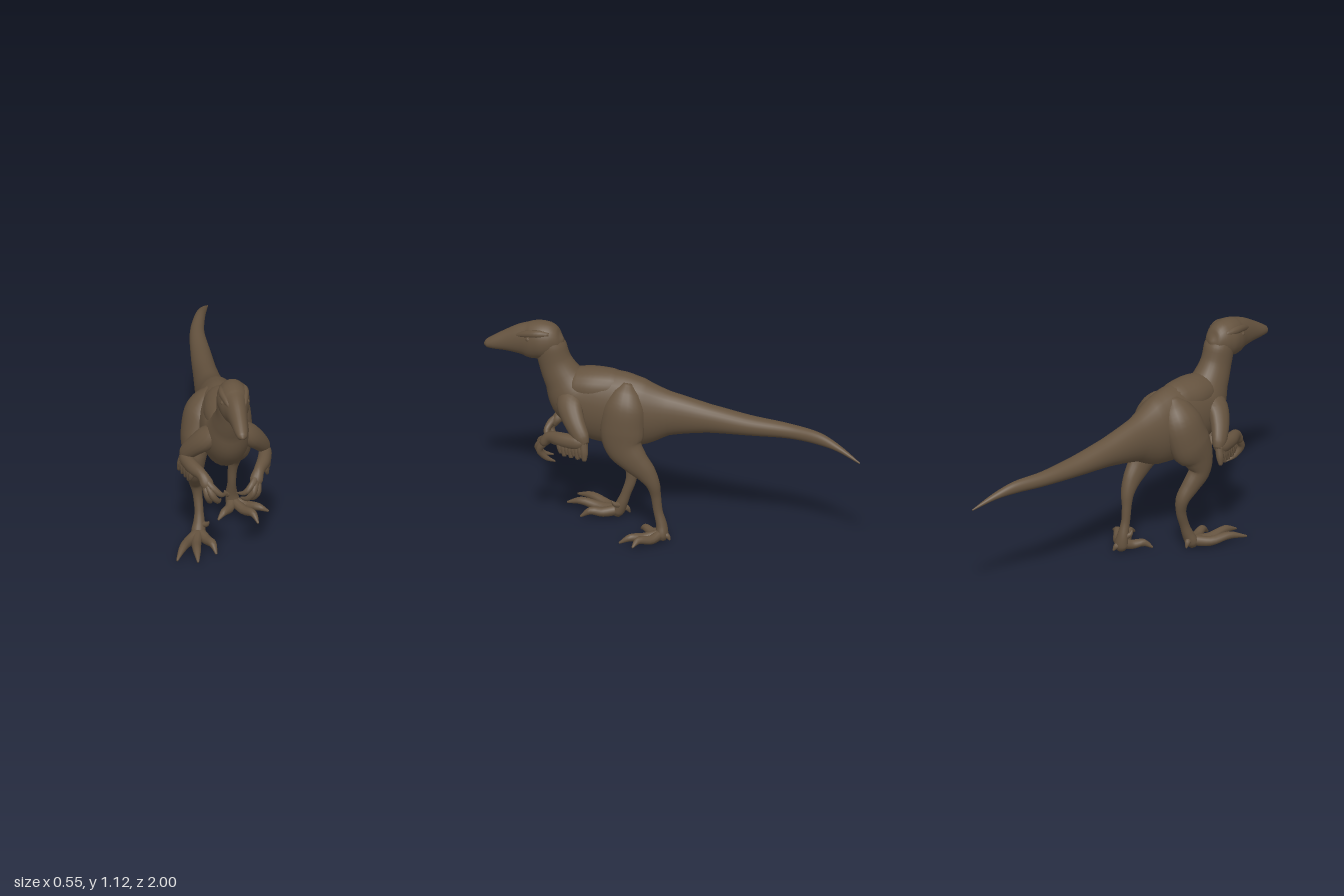
import * as THREE from 'three';

const hide = new THREE.MeshStandardMaterial({ color: 0x65533f });
hide.name = 'brownHide';

// Smooth loft through stations [x, y, z, halfWidth, halfHeight], closed at both ends
function loft(stations, steps = 4, sides = 16) {
  const path = new THREE.CatmullRomCurve3(stations.map(s => new THREE.Vector3(s[0], s[1], s[2])));
  const size = new THREE.CatmullRomCurve3(stations.map(s => new THREE.Vector3(s[3], s[4], 0)));
  const rings = (stations.length - 1) * steps;
  const pos = [], idx = [];
  for (let i = 0; i <= rings; i++) {
    const c = path.getPoint(i / rings), r = size.getPoint(i / rings), t = path.getTangent(i / rings);
    const side = new THREE.Vector3(1, 0, 0).addScaledVector(t, -t.x).normalize();
    const up = new THREE.Vector3().crossVectors(t, side);
    for (let j = 0; j < sides; j++) {
      const a = j / sides * Math.PI * 2;
      const p = c.clone().addScaledVector(side, Math.cos(a) * r.x).addScaledVector(up, Math.sin(a) * r.y);
      pos.push(p.x, p.y, p.z);
      const n = (j + 1) % sides, k = i * sides;
      if (i < rings) idx.push(k + j, k + n, k + sides + j, k + n, k + sides + n, k + sides + j);
    }
  }
  const start = pos.length / 3, first = stations[0], last = stations[stations.length - 1];
  pos.push(first[0], first[1], first[2], last[0], last[1], last[2]);
  for (let j = 0; j < sides; j++) {
    const n = (j + 1) % sides, k = rings * sides;
    idx.push(start, n, j, start + 1, k + j, k + n);
  }
  const g = new THREE.BufferGeometry();
  g.setAttribute('position', new THREE.Float32BufferAttribute(pos, 3));
  g.setIndex(idx);
  g.computeVertexNormals();
  return g;
}

export function createModel() {
  const model = new THREE.Group();
  model.name = 'raptor';
  const add = (name, stations, parent = model, steps, sides) => {
    const m = new THREE.Mesh(loft(stations, steps, sides), hide);
    m.name = name;
    parent.add(m);
    return m;
  };
  const group = name => {
    const g = new THREE.Group();
    g.name = name;
    model.add(g);
    return g;
  };
  // Tapering digit: knuckles thin out into a claw
  const digit = (name, points, r, parent) => add(name, points.map((p, i) => {
    const k = [1, 0.95, 0.75, 0.2][i + 4 - points.length];
    return [...p, r * k, r * k];
  }), parent, 4, 10);

  // Tail, trunk and neck in one sweep
  add('body', [
    [0.152, 0.587, -1, 0.003, 0.004], [0.11, 0.637, -0.88, 0.018, 0.017],
    [0.074, 0.662, -0.77, 0.027, 0.032], [0.033, 0.667, -0.61, 0.037, 0.038],
    [0.015, 0.667, -0.39, 0.052, 0.053], [0.002, 0.675, -0.18, 0.062, 0.076],
    [-0.004, 0.678, 0.03, 0.079, 0.12], [0, 0.674, 0.17, 0.11, 0.182],
    [0, 0.682, 0.3, 0.124, 0.202], [0, 0.695, 0.42, 0.124, 0.198],
    [0, 0.735, 0.52, 0.116, 0.155], [0, 0.82, 0.585, 0.09, 0.104],
    [0, 0.91, 0.63, 0.075, 0.086], [0, 0.99, 0.65, 0.075, 0.08],
    [0, 1.06, 0.66, 0.06, 0.05],
  ], model, 5, 28);

  // Withers filling the base of the neck
  add('withers', [[0, 0.785, 0.2, 0.04, 0.05], [0, 0.79, 0.33, 0.095, 0.1], [0, 0.793, 0.43, 0.106, 0.099],
    [0, 0.79, 0.52, 0.095, 0.091], [0, 0.8, 0.58, 0.06, 0.06]], model, 4, 24);

  // Head with a wedge snout
  add('head', [
    [0, 1.035, 0.585, 0.01, 0.01], [0, 1.03, 0.605, 0.05, 0.058],
    [0, 1.027, 0.65, 0.076, 0.092], [0, 1.022, 0.7, 0.084, 0.102],
    [0, 1.014, 0.75, 0.076, 0.1], [0, 1.011, 0.8, 0.058, 0.086],
    [0, 0.995, 0.88, 0.043, 0.058], [0, 0.976, 0.95, 0.034, 0.035],
    [0, 0.966, 0.985, 0.024, 0.022], [0, 0.962, 1, 0.006, 0.006],
  ], model, 4, 24);

  for (const s of [1, -1]) {
    const side = s > 0 ? 'left' : 'right';
    const at = pts => pts.map(([x, ...rest]) => [x * s, ...rest]);

    // Brow ridge and eye, sunk into the head
    add(side + 'Brow', at([[0.052, 1.074, 0.65, 0.012, 0.014], [0.06, 1.076, 0.71, 0.019, 0.022],
      [0.047, 1.062, 0.78, 0.016, 0.018], [0.031, 1.04, 0.84, 0.007, 0.007]]), model, 4, 10);
    const eye = new THREE.Mesh(new THREE.SphereGeometry(0.014, 12, 8), hide);
    eye.name = side + 'Eye';
    eye.position.set(0.061 * s, 1.042, 0.755);
    model.add(eye);

    // Arm, folded with the elbow out and back
    const arm = group(side + 'Arm');
    add('upperArm', at([[0.04, 0.765, 0.535, 0.045, 0.06], [0.1, 0.72, 0.53, 0.05, 0.068],
      [0.155, 0.66, 0.495, 0.045, 0.057], [0.2, 0.59, 0.445, 0.034, 0.043],
      [0.21, 0.555, 0.425, 0.022, 0.025]]), arm);
    add('forearm', at([[0.21, 0.57, 0.42, 0.022, 0.025], [0.203, 0.56, 0.47, 0.034, 0.04],
      [0.18, 0.555, 0.55, 0.034, 0.038], [0.145, 0.545, 0.62, 0.028, 0.03],
      [0.128, 0.515, 0.65, 0.034, 0.027], [0.12, 0.485, 0.665, 0.022, 0.018]]), arm);
    [[[0.13, 0.53, 0.645], [0.1, 0.5, 0.68], [0.062, 0.465, 0.69], [0.025, 0.447, 0.655]],
      [[0.125, 0.51, 0.66], [0.105, 0.465, 0.695], [0.075, 0.42, 0.675], [0.052, 0.402, 0.625]],
      [[0.135, 0.51, 0.65], [0.13, 0.46, 0.68], [0.112, 0.41, 0.65], [0.095, 0.385, 0.605]],
    ].forEach(f => digit('finger', at(f), 0.019, arm));

    // Fringe of flat feathers along the forearm
    for (let i = 0; i < 8; i++) {
      const k = i / 7, x = 0.21 - 0.035 * k, z = 0.43 + 0.13 * k;
      add('armFeather', at([[x, 0.575, z, 0.02, 0.022], [x + 0.015, 0.52, z - 0.006, 0.018, 0.022],
        [x + 0.024, 0.475 + 0.012 * (i % 2), z - 0.01, 0.008, 0.011]]), arm, 4, 8);
    }
  }

  // Striding legs, each one sweep from hip to foot: left one back, right one forward
  const leftLeg = group('leftLeg');
  add('leg', [[0.035, 0.845, 0.24, 0.03, 0.03], [0.052, 0.795, 0.245, 0.064, 0.08],
    [0.082, 0.71, 0.25, 0.079, 0.112], [0.098, 0.6, 0.255, 0.073, 0.115],
    [0.11, 0.52, 0.243, 0.059, 0.1], [0.115, 0.45, 0.19, 0.051, 0.075],
    [0.112, 0.385, 0.13, 0.042, 0.055], [0.107, 0.32, 0.092, 0.034, 0.036],
    [0.1, 0.25, 0.078, 0.024, 0.026], [0.098, 0.17, 0.068, 0.022, 0.024],
    [0.1, 0.09, 0.048, 0.031, 0.028], [0.107, 0.045, 0.045, 0.037, 0.032],
    [0.11, 0.018, 0.05, 0.025, 0.025]], leftLeg, 5, 20);
  [[[0.11, 0.048, 0.05], [0.15, 0.035, 0.13], [0.188, 0.045, 0.19], [0.205, 0.017, 0.245]],
    [[0.11, 0.048, 0.05], [0.17, 0.037, 0.085], [0.225, 0.052, 0.14], [0.273, 0.033, 0.16]],
    [[0.1, 0.048, 0.05], [0.08, 0.035, 0.1], [0.045, 0.04, 0.145], [0.01, 0.015, 0.175]],
  ].forEach(t => digit('toe', t, 0.026, leftLeg));
  digit('sickleClaw', [[0.09, 0.09, 0.05], [0.068, 0.105, 0.07], [0.06, 0.128, 0.078]], 0.018, leftLeg);
  digit('heelSpur', [[0.11, 0.05, 0.04], [0.115, 0.04, 0.015], [0.12, 0.02, 0]], 0.02, leftLeg);

  const rightLeg = group('rightLeg');
  add('leg', [[-0.035, 0.845, 0.265, 0.03, 0.03], [-0.055, 0.795, 0.27, 0.066, 0.08],
    [-0.098, 0.71, 0.28, 0.086, 0.114], [-0.123, 0.6, 0.31, 0.083, 0.118],
    [-0.14, 0.52, 0.35, 0.062, 0.092], [-0.145, 0.44, 0.358, 0.049, 0.065],
    [-0.133, 0.37, 0.31, 0.042, 0.052], [-0.119, 0.3, 0.26, 0.035, 0.037],
    [-0.11, 0.23, 0.258, 0.025, 0.028], [-0.107, 0.15, 0.283, 0.023, 0.025],
    [-0.11, 0.09, 0.305, 0.03, 0.029], [-0.117, 0.045, 0.325, 0.037, 0.033],
    [-0.12, 0.018, 0.34, 0.025, 0.025]], rightLeg, 5, 20);
  [[[-0.12, 0.045, 0.33], [-0.145, 0.035, 0.43], [-0.158, 0.05, 0.53], [-0.165, 0.03, 0.605]],
    [[-0.12, 0.045, 0.33], [-0.18, 0.036, 0.4], [-0.225, 0.052, 0.49], [-0.268, 0.032, 0.575]],
    [[-0.11, 0.045, 0.33], [-0.085, 0.036, 0.4], [-0.065, 0.045, 0.46], [-0.055, 0.012, 0.51]],
  ].forEach(t => digit('toe', t, 0.027, rightLeg));
  digit('sickleClaw', [[-0.1, 0.08, 0.31], [-0.077, 0.09, 0.335], [-0.067, 0.112, 0.35]], 0.018, rightLeg);
  digit('heelSpur', [[-0.12, 0.06, 0.31], [-0.13, 0.05, 0.285], [-0.135, 0.025, 0.27]], 0.02, rightLeg);

  return model;
}
